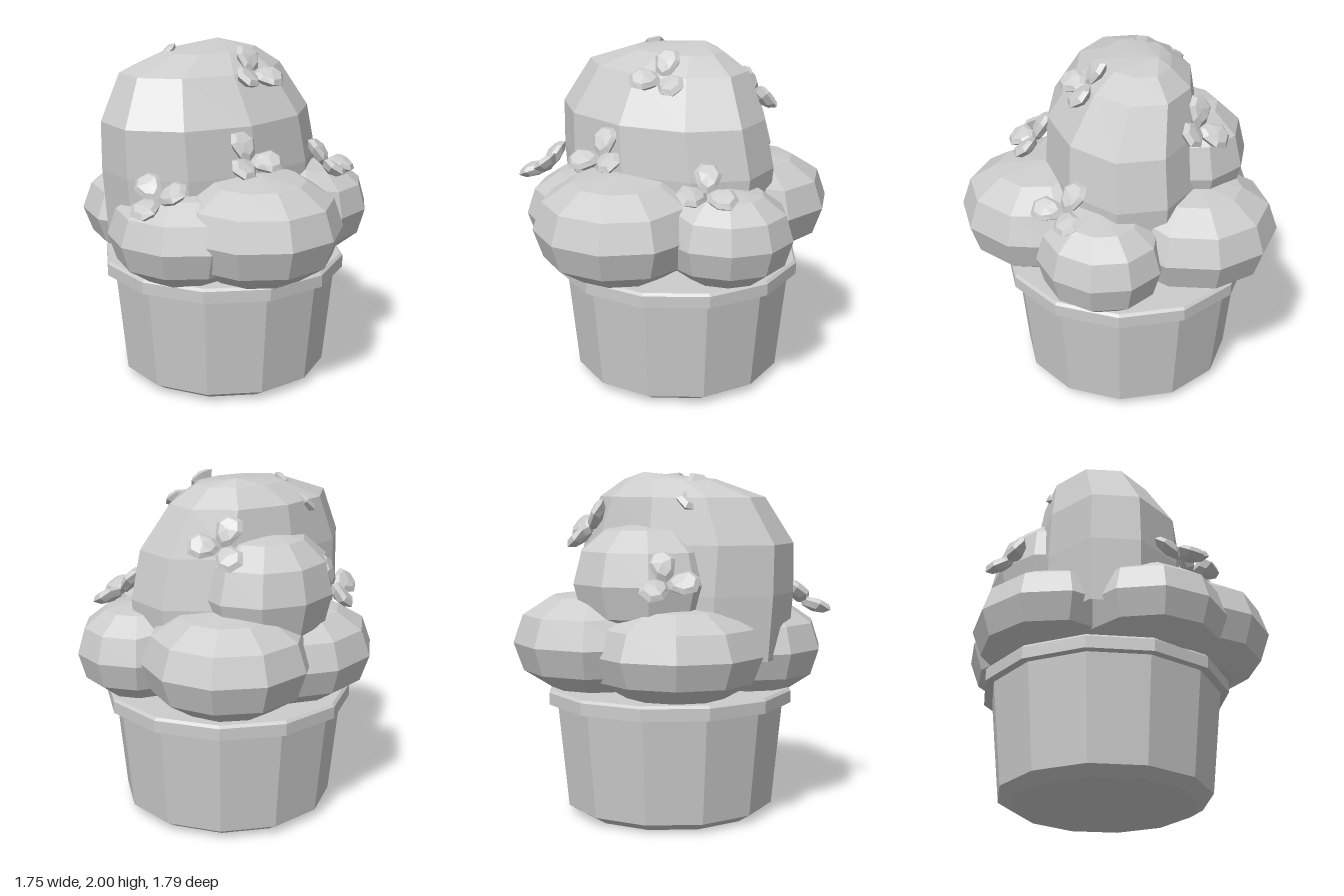
import * as THREE from 'three';

const grey = new THREE.MeshStandardMaterial({ color: 0xcccccc });
grey.name = 'matte grey';

// Faceted mesh: split the faces so each one keeps its own normal
function faceted(geometry, name) {
  const g = geometry.index ? geometry.toNonIndexed() : geometry;
  g.computeVertexNormals();
  const mesh = new THREE.Mesh(g, grey);
  mesh.name = name;
  return mesh;
}

// Boxy ellipsoid for a leaf clump; its top rises towards the plant's axis by lift
function clump(name, [x, y, z], [rx, ry, rz], spin, lift) {
  const g = new THREE.SphereGeometry(1, 10, 6);
  const p = g.attributes.position;
  const v = new THREE.Vector3();
  const axis = new THREE.Vector3(0, 1, 0);
  const inward = new THREE.Vector3(-x, 0, -z).normalize();
  for (let i = 0; i < p.count; i++) {
    v.fromBufferAttribute(p, i).applyAxisAngle(axis, spin);
    const h = Math.hypot(v.x, v.z);
    const k = h > 1e-4 ? Math.pow(h, 0.85) / h : 0;
    const rise = v.y > 0.1 ? lift * Math.max(0, v.dot(inward)) : 0;
    const py = Math.sign(v.y) * Math.pow(Math.abs(v.y), 0.9);
    p.setXYZ(i, x + v.x * k * rx, y + py * ry + rise, z + v.z * k * rz);
  }
  return faceted(g, name);
}

// Loft through skewed elliptical rings [y, centre x, centre z, radius x, radius z]
function loft(name, rings, sides, skew) {
  const pos = [], idx = [];
  rings.forEach(([y, cx, cz, rx, rz]) => {
    for (let i = 0; i < sides; i++) {
      const a = (i / sides) * Math.PI * 2 + 0.12;
      const dz = Math.cos(a) * rz;
      pos.push(cx + Math.sin(a) * rx - skew * dz, y, cz + dz);
    }
  });
  for (let j = 0; j < rings.length - 1; j++) {
    for (let i = 0; i < sides; i++) {
      const n = (i + 1) % sides;
      const a = j * sides + i, b = j * sides + n;
      idx.push(a, b, a + sides, b, b + sides, a + sides);
    }
  }
  const g = new THREE.BufferGeometry();
  g.setAttribute('position', new THREE.Float32BufferAttribute(pos, 3));
  g.setIndex(idx);
  return faceted(g, name);
}

// One plump petal, narrow at the flower's middle and cupped upward
function petalGeometry() {
  const g = new THREE.SphereGeometry(1, 7, 4);
  const p = g.attributes.position;
  for (let i = 0; i < p.count; i++) {
    const x = p.getX(i), y = p.getY(i), z = p.getZ(i);
    const w = 0.78 + 0.22 * x;
    p.setXYZ(i, 0.09 + x * 0.095, y * 0.042 + 0.02 * z * z + 0.025 * x, z * 0.098 * w);
  }
  return g;
}

function flower(position, normal, spin) {
  const group = new THREE.Group();
  group.name = 'flower';
  for (let i = 0; i < 3; i++) {
    const petal = faceted(petalGeometry(), 'petal');
    petal.rotation.y = spin + (i * Math.PI * 2) / 3;
    group.add(petal);
  }
  group.position.set(...position);
  group.quaternion.setFromUnitVectors(
    new THREE.Vector3(0, 1, 0), new THREE.Vector3(...normal).normalize());
  return group;
}

export function createModel() {
  const model = new THREE.Group();
  model.name = 'pottedShrub';

  // Twelve-sided pot with a bevelled foot and a rim
  const turned = (name, points) => {
    const g = new THREE.LatheGeometry(points.map(([r, y]) => new THREE.Vector2(r, y)), 12);
    const mesh = faceted(g, name);
    mesh.position.set(-0.042, 0, -0.05);
    model.add(mesh);
  };
  turned('pot', [[0, 0], [0.54, 0], [0.62, 0.05], [0.68, 0.66]]);
  turned('rim', [[0.67, 0.66], [0.73, 0.66], [0.73, 0.73], [0.715, 0.745], [0, 0.745]]);

  // Ring of low leaf clumps
  model.add(
    clump('rightClump', [-0.43, 0.99, 0.07], [0.45, 0.28, 0.51], 0.2, 0.12),
    clump('frontClump', [0.05, 0.98, 0.42], [0.44, 0.28, 0.43], 0.1, 0.14),
    clump('leftClump', [0.4, 1.02, 0.18], [0.48, 0.31, 0.49], 0.1, 0.08),
    clump('backLeftClump', [0.31, 1.0, -0.43], [0.36, 0.28, 0.39], 0.3, 0.12),
    clump('backClump', [-0.29, 1.03, -0.42], [0.48, 0.3, 0.49], 0.1, 0.1),
  );

  // Tall crown, skewed from front right to back left, with a shoulder behind
  model.add(loft('crown', [
    [0.95, -0.06, 0.03, 0.46, 0.64],
    [1.32, -0.06, 0.03, 0.47, 0.67],
    [1.6, -0.07, 0.06, 0.45, 0.64],
    [1.86, -0.13, 0.04, 0.34, 0.5],
    [1.96, -0.12, -0.03, 0.2, 0.28],
    [2.0, -0.18, -0.17, 0.0, 0.0],
  ], 10, 0.18));
  model.add(clump('shoulder', [-0.35, 1.38, -0.12], [0.38, 0.34, 0.43], 0.25, 0));

  // Three-petalled flowers: position, facing, spin
  const down = -Math.PI / 2;
  [
    [[-0.28, 1.69, -0.48], [-0.3, 0.6, -0.7], down],
    [[-0.69, 1.42, 0.08], [-0.75, 0.6, 0.2], down],
    [[-0.34, 1.85, 0.2], [-0.5, 0.7, 0.45], down],
    [[0.21, 1.86, -0.02], [0.65, 0.75, 0.05], down + 0.3],
    [[0.42, 1.44, 0.28], [0.6, 0.75, 0.2], down + 0.3],
    [[0.12, 1.27, 0.73], [0.1, 0.8, 0.55], down],
    [[0.51, 1.31, -0.37], [0.5, 0.8, -0.25], down + 0.8],
  ].forEach((f) => model.add(flower(...f)));

  return model;
}
